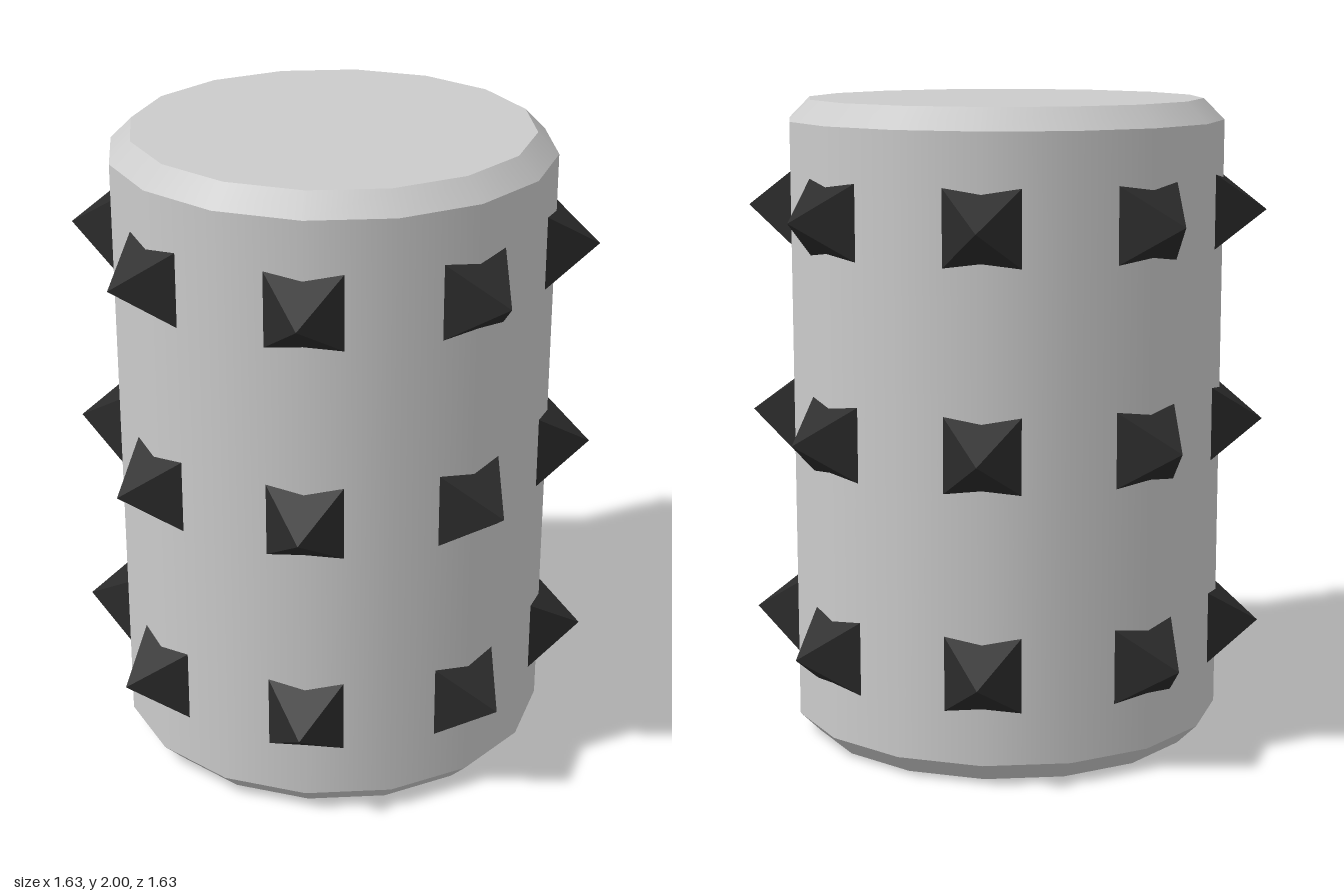
import * as THREE from 'three';

export function createModel() {
  const model = new THREE.Group();
  const grey = new THREE.MeshStandardMaterial({ color: 0xcccccc });
  const dark = new THREE.MeshStandardMaterial({ color: 0x2b2b2b, flatShading: true });

  const R = 0.68, CAP_R = 0.615, BEVEL = 0.065, SIDES = 16;

  const add = (name, geometry, y) => {
    const mesh = new THREE.Mesh(geometry, grey);
    mesh.name = name;
    mesh.position.y = y;
    model.add(mesh);
  };

  // Barrel: smooth wall, bevelled rims and flat ends, with sharp edges between them
  add('wall', new THREE.CylinderGeometry(R, R, 2 - 2 * BEVEL, SIDES, 1, true), 1);
  add('topBevel', new THREE.CylinderGeometry(CAP_R, R, BEVEL, SIDES, 1, true), 2 - BEVEL / 2);
  add('bottomBevel', new THREE.CylinderGeometry(R, CAP_R, BEVEL, SIDES, 1, true), BEVEL / 2);
  add('topCap', new THREE.CircleGeometry(CAP_R, SIDES).rotateX(-Math.PI / 2), 2);
  add('bottomCap', new THREE.CircleGeometry(CAP_R, SIDES).rotateX(Math.PI / 2), 0);

  // Square pyramid pointing outwards along z, its base sunk into the wall
  const TIP = 0.815, BASE = 0.64, HALF = 0.127;
  const spikeGeometry = new THREE.ConeGeometry(HALF * Math.SQRT2, TIP - BASE, 4)
    .rotateY(Math.PI / 4)
    .rotateX(Math.PI / 2)
    .translate(0, 0, (TIP + BASE) / 2);

  // Three rings of eight spikes
  for (const y of [0.34, 1, 1.66]) {
    const ring = new THREE.Group();
    ring.name = 'spikeRing';
    ring.position.y = y;
    for (let i = 0; i < 8; i++) {
      const spike = new THREE.Mesh(spikeGeometry, dark);
      spike.name = 'spike';
      spike.rotation.y = (i * Math.PI) / 4;
      ring.add(spike);
    }
    model.add(ring);
  }

  return model;
}
